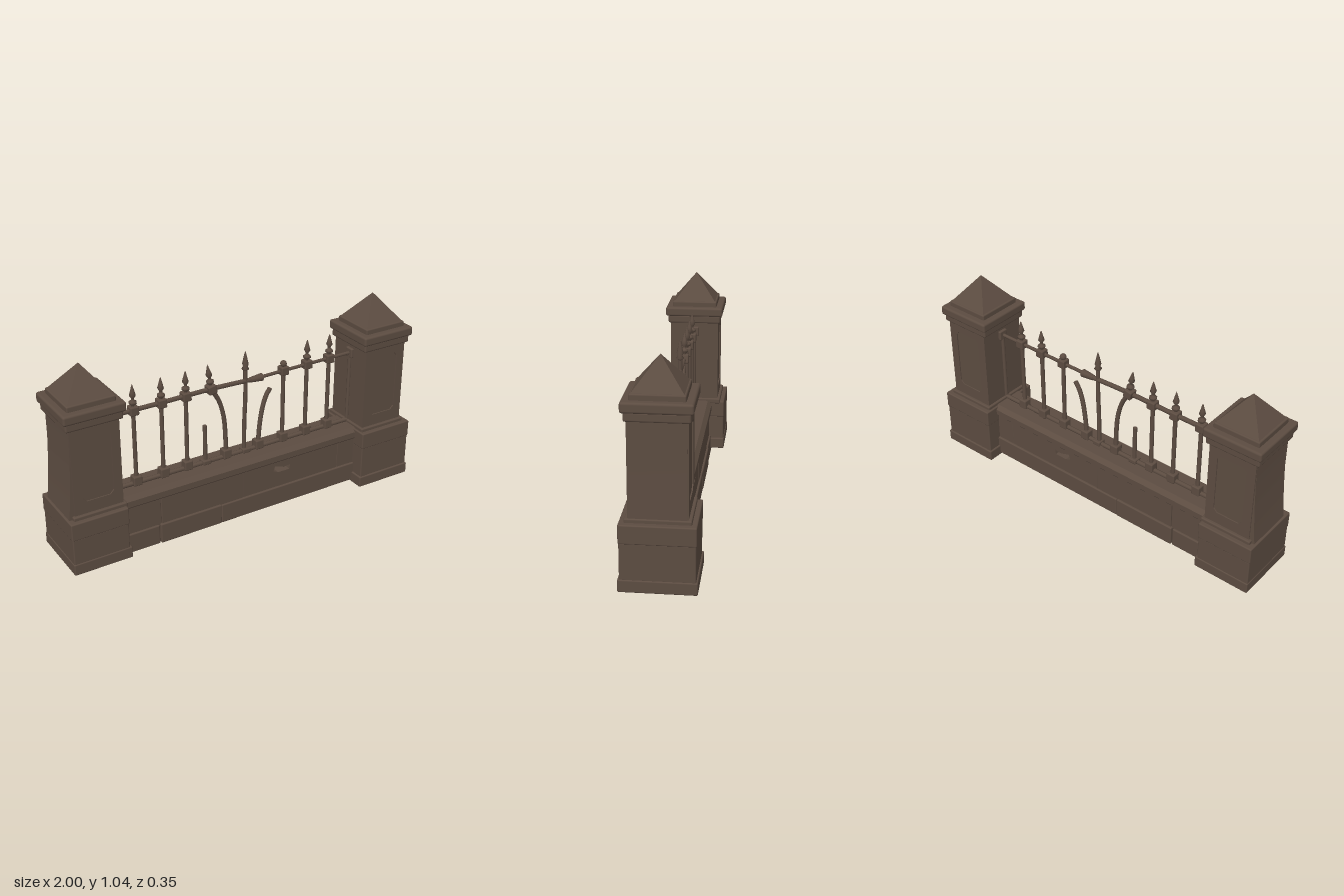
import * as THREE from 'three';
import { RoundedBoxGeometry } from 'three/addons/geometries/RoundedBoxGeometry.js';

const stone = new THREE.MeshStandardMaterial({ color: 0x5c4c41 });
stone.name = 'weathered brown';

function add(parent, name, geometry, x = 0, y = 0, z = 0) {
  const mesh = new THREE.Mesh(geometry, stone);
  mesh.name = name;
  mesh.position.set(x, y, z);
  parent.add(mesh);
  return mesh;
}

// Soft-edged block given by its limits in x and y and its half depth
function block(parent, name, x0, x1, y0, y1, halfZ, r = 0.006) {
  const g = new RoundedBoxGeometry(x1 - x0, y1 - y0, halfZ * 2, 2, r);
  return add(parent, name, g, (x0 + x1) / 2, (y0 + y1) / 2, 0);
}

function rect(Type, x0, y0, x1, y1) {
  return new Type([[x0, y0], [x1, y0], [x1, y1], [x0, y1]].map(p => new THREE.Vector2(...p)));
}

// Panel outline with notched-off corners
function panelPath(w, y0, y1, c) {
  const pts = [[-w + c, y0], [w - c, y0], [w, y0 + c], [w, y1 - c], [w - c, y1], [-w + c, y1], [-w, y1 - c], [-w, y0 + c]];
  return new THREE.Path(pts.map(p => new THREE.Vector2(...p)));
}

function tube(parent, name, points, radius, segments = 12) {
  const curve = new THREE.CatmullRomCurve3(points.map(([x, y, z = 0]) => new THREE.Vector3(x, y, z)));
  add(parent, name, new THREE.TubeGeometry(curve, segments, radius, 8), 0, 0, 0);
  // Close both ends
  [0, 1].forEach(t => {
    const cap = add(parent, name + 'End', new THREE.CircleGeometry(radius, 8));
    const p = curve.getPointAt(t);
    cap.position.copy(p);
    cap.lookAt(p.clone().addScaledVector(curve.getTangentAt(t), t ? 1 : -1));
  });
}

// Pillar above its base: foot, panelled shaft, mouldings and pyramid
function pillar(name, cx, flare) {
  const g = new THREE.Group();
  g.name = name;
  g.position.x = cx;
  block(g, 'shaftFoot', -0.138, 0.138, 0.31, 0.338, 0.148);

  // Shaft core, worn wider toward the foot on its outer side
  const core = new THREE.BoxGeometry(0.25, 0.48, 0.25, 1, 8, 1);
  const p = core.attributes.position;
  const outer = Math.sign(cx);
  for (let i = 0; i < p.count; i++) {
    const low = (0.24 - p.getY(i)) / 0.48;
    if (p.getX(i) * outer > 0) p.setX(i, p.getX(i) + outer * flare * low * low);
    p.setZ(i, p.getZ(i) * (1 + 0.02 * low));
  }
  core.computeVertexNormals();
  add(g, 'shaft', core, 0, 0.56, 0);

  // Raised surround leaves a sunken panel on front and back
  const frame = rect(THREE.Shape, -0.125, 0.33, 0.125, 0.79);
  frame.holes.push(panelPath(0.08, 0.4, 0.735, 0.02));
  const frameGeo = new THREE.ExtrudeGeometry(frame, { depth: 0.008, bevelEnabled: false });
  add(g, 'frontPanelSurround', frameGeo, 0, 0, 0.125);
  add(g, 'backPanelSurround', frameGeo, 0, 0, -0.133);

  block(g, 'neckMoulding', -0.144, 0.144, 0.78, 0.824, 0.144, 0.009);
  block(g, 'capSlab', -0.156, 0.156, 0.82, 0.869, 0.157, 0.011);
  block(g, 'capStep', -0.122, 0.122, 0.862, 0.897, 0.122, 0.007);
  const roof = new THREE.ConeGeometry(0.115 * Math.SQRT2, 0.145, 4).toNonIndexed();
  roof.rotateY(Math.PI / 4);
  roof.computeVertexNormals();
  add(g, 'pyramidCap', roof, 0, 0.967, 0);
  return g;
}

// Spear finial, base at the origin
const finialGeo = new THREE.LatheGeometry(
  [[0, 0], [0.009, 0], [0.009, 0.025], [0.02, 0.034], [0.02, 0.044], [0.008, 0.052], [0.008, 0.062], [0.017, 0.076], [0.012, 0.094], [0.004, 0.124], [0, 0.134]]
    .map(p => new THREE.Vector2(...p)), 8);

export function createModel() {
  const model = new THREE.Group();
  model.name = 'ruinedFence';

  // Pillars and their bases
  model.add(pillar('leftPillar', 0.832, 0.006), pillar('rightPillar', -0.836, 0.028));
  const bases = new THREE.Group();
  bases.name = 'pillarBases';
  model.add(bases);
  block(bases, 'leftBasePlinth', 0.677, 1, 0, 0.06, 0.177);
  block(bases, 'leftBaseBody', 0.686, 0.995, 0.055, 0.235, 0.169);
  block(bases, 'leftBaseTop', 0.684, 0.998, 0.23, 0.32, 0.172);
  block(bases, 'rightBasePlinth', -1, -0.695, 0.04, 0.1, 0.173);
  block(bases, 'rightBaseBody', -0.997, -0.706, 0.09, 0.235, 0.169);
  block(bases, 'rightBaseTop', -1, -0.703, 0.23, 0.32, 0.171);

  // Low wall
  const wall = new THREE.Group();
  wall.name = 'lowWall';
  model.add(wall);
  [[-0.765, -0.505, 0.115, 0.098], [-0.5, -0.15, 0.118, 0.102], [-0.148, 0.7, 0.115, 0.1]]
    .forEach(([a, b, top, d]) => block(wall, 'footingBlock', a, b, 0.01, top, d));
  [[-0.72, -0.491, 0.088], [-0.489, -0.016, 0.091], [0.58, 0.71, 0.089]]
    .forEach(([a, b, d]) => block(wall, 'wallBlock', a, b, 0.108, 0.275, d, 0.003));

  // Wall block broken through by a ragged hole
  const holed = rect(THREE.Shape, -0.014, 0.108, 0.579, 0.275);
  holed.holes.push(new THREE.Path([[0.17, 0.212], [0.2, 0.198], [0.27, 0.198], [0.275, 0.225], [0.235, 0.22], [0.18, 0.238]]
    .map(p => new THREE.Vector2(...p))));
  add(wall, 'brokenWallBlock', new THREE.ExtrudeGeometry(holed, { depth: 0.178, bevelEnabled: false }), 0, 0, -0.089);

  // Chamfered coping along the wall
  const coping = new THREE.Shape([[-0.096, 0.265], [0.096, 0.265], [0.102, 0.272], [0.102, 0.304], [0.08, 0.325], [-0.08, 0.325], [-0.102, 0.304], [-0.102, 0.272]]
    .map(p => new THREE.Vector2(...p)));
  const copingGeo = new THREE.ExtrudeGeometry(coping, { depth: 1.42, bevelEnabled: false });
  copingGeo.rotateY(Math.PI / 2);
  add(wall, 'coping', copingGeo, -0.71, 0, 0);

  // Rails
  const iron = new THREE.Group();
  iron.name = 'ironRailing';
  model.add(iron);
  tube(iron, 'bottomRail', [[-0.72, 0.335], [0, 0.332], [0.72, 0.335]], 0.012);
  tube(iron, 'topRail', [[-0.72, 0.73], [-0.4, 0.73], [-0.14, 0.732], [0.1, 0.724]], 0.012);
  tube(iron, 'topRailFarHalf', [[0.1, 0.724], [0.3, 0.727], [0.72, 0.73]], 0.009);
  const sleeve = add(iron, 'brokenSleeve', new THREE.CylinderGeometry(0.014, 0.021, 0.07, 8), 0.115, 0.724);
  sleeve.rotation.z = Math.PI / 2;
  [-1, 1].forEach(s => {
    block(iron, 'wallBracket', s * 0.705 - 0.012, s * 0.705 + 0.012, 0.705, 0.757, 0.026);
    tube(iron, 'endBar', [[s * 0.703, 0.33], [s * 0.703, 0.73]], 0.01, 2);
  });

  // Lower collars under every bar
  [-0.575, -0.425, -0.29, -0.185, -0.065, 0.05, 0.13, 0.28, 0.425, 0.565].forEach(x => {
    const tall = x !== -0.185 && x !== 0.05;
    block(iron, 'lowerCollar', x - 0.023, x + 0.023, 0.325, tall ? 0.376 : 0.35, 0.023);
  });

  // Straight bars, one of them without its spear
  [[-0.575, true], [-0.425, true], [-0.29, true], [0.28, false], [0.425, true], [0.565, true]].forEach(([x, spear]) => {
    tube(iron, 'bar', [[x, 0.33], [x, 0.74]], 0.011, 2);
    block(iron, 'upperCollar', x - 0.023, x + 0.023, 0.707, 0.753, 0.023);
    if (spear) add(iron, 'finial', finialGeo, x, 0.732, 0);
    else add(iron, 'finialStump', new THREE.SphereGeometry(0.018, 8, 6), x, 0.766, 0);
  });

  // Bent and broken bars
  tube(iron, 'brokenStub', [[-0.185, 0.33], [-0.186, 0.54]], 0.011, 2);
  tube(iron, 'bentBar', [[-0.065, 0.33], [-0.067, 0.46], [-0.078, 0.57], [-0.105, 0.66], [-0.147, 0.73]], 0.012, 16);
  block(iron, 'bentBarCollar', -0.171, -0.125, 0.71, 0.756, 0.024).rotation.z = 0.2;
  add(iron, 'bentFinial', finialGeo, -0.147, 0.735, 0).rotation.z = 0.15;
  tube(iron, 'snappedBar', [[0.13, 0.33], [0.137, 0.44], [0.155, 0.55], [0.175, 0.61], [0.2, 0.65]], 0.012, 16);
  tube(iron, 'looseBar', [[0.045, 0.33], [0.046, 0.5], [0.052, 0.65], [0.051, 0.79]], 0.011, 8);
  add(iron, 'looseSpear', new THREE.LatheGeometry(
    [[0, 0], [0.011, 0], [0.02, 0.008], [0.012, 0.02], [0.017, 0.035], [0.005, 0.09], [0, 0.105]]
      .map(p => new THREE.Vector2(...p)), 8), 0.051, 0.785, 0);

  return model;
}
